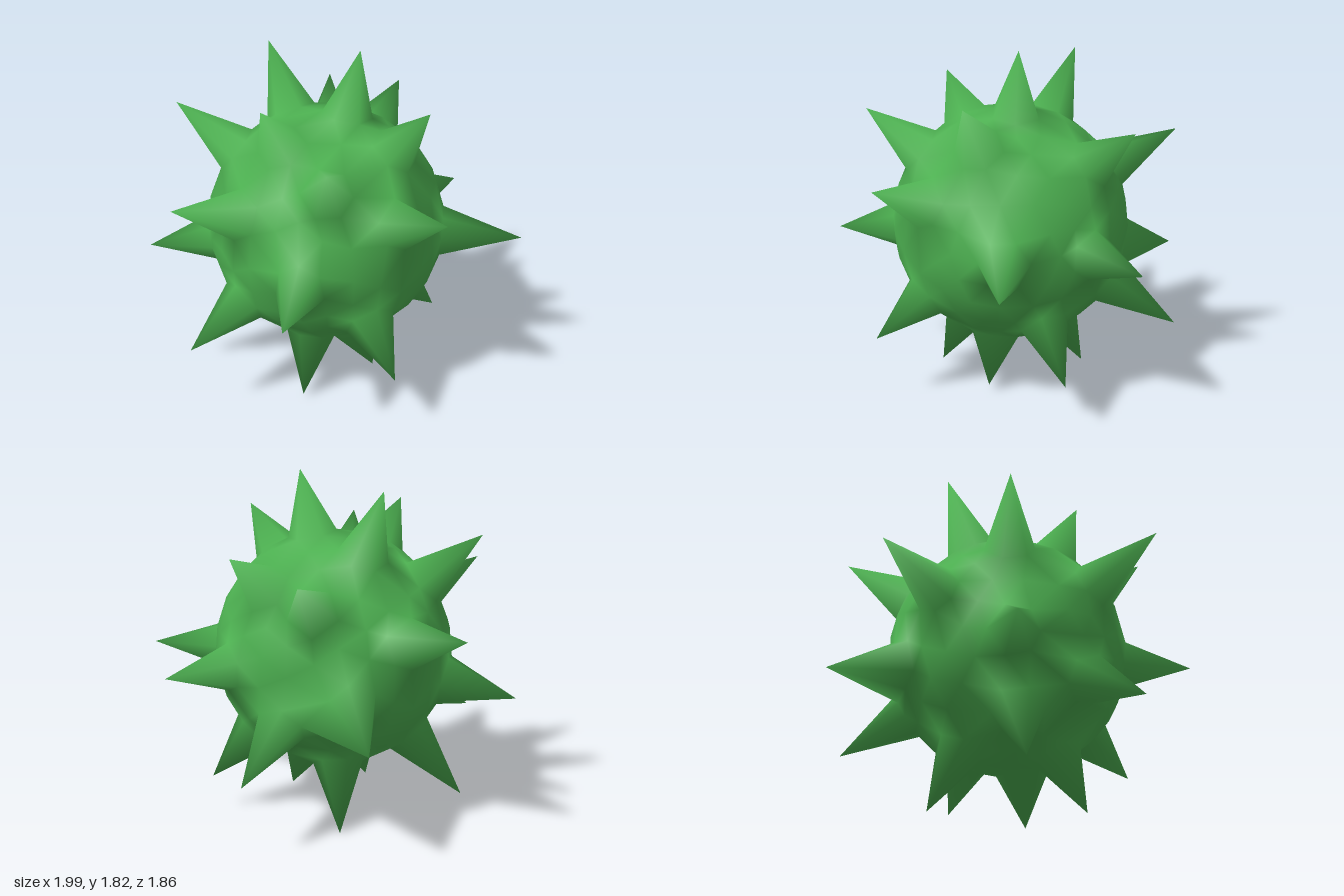
import * as THREE from 'three';
import { mergeVertices } from 'three/addons/utils/BufferGeometryUtils.js';

const CENTRE = new THREE.Vector3(-0.035, 0.885, 0);
const RADIUS = 0.625;
const RING = 0.21; // angle from a spike's axis to its base ring

// Spike tips, roughly from top to bottom
const TIPS = [
  [0.136, 1.82, -0.03], [-0.335, 1.757, -0.365], [-0.345, 1.64, 0.325], [0.467, 1.6, 0.255],
  [-0.8, 1.52, -0.1], [-0.03, 1.505, 0.74], [0.37, 1.45, -0.585], [-0.013, 1.38, -0.863],
  [-0.756, 1.275, 0.63], [0.526, 1.225, 0.69], [-0.765, 1.125, -0.7], [0.71, 0.84, -0.585],
  [0.99, 0.836, 0.11], [-0.237, 0.797, 0.927], [-1, 0.677, -0.1], [-0.35, 0.63, -0.93],
  [-0.725, 0.425, 0.54], [0.27, 0.4, -0.845], [0.305, 0.365, 0.713], [0.58, 0.2, -0.24],
  [-0.73, 0.1, -0.02], [0.22, 0.04, 0.13], [-0.16, 0.02, 0.375], [-0.136, 0, -0.41],
].map((t) => new THREE.Vector3(...t).sub(CENTRE));

function spikyBallGeometry() {
  // Weld an icosphere so neighbouring faces share vertices
  let geo = new THREE.IcosahedronGeometry(1, 4);
  geo.deleteAttribute('uv');
  geo.deleteAttribute('normal');
  geo = mergeVertices(geo, 1e-4);
  const pos = geo.attributes.position;
  const index = geo.index.array;
  const points = Array.from({ length: pos.count }, (_, i) => new THREE.Vector3().fromBufferAttribute(pos, i));

  // Vertices that share a triangle
  const neighbours = points.map(() => new Set());
  for (let i = 0; i < index.length; i += 3) {
    const tri = [index[i], index[i + 1], index[i + 2]];
    for (const a of tri) for (const b of tri) if (a !== b) neighbours[a].add(b);
  }

  // Slide the mesh so that one vertex lies on each spike's axis
  const peaks = [];
  for (const tip of TIPS) {
    const dir = tip.clone().normalize();
    let peak = -1;
    points.forEach((p, i) => {
      if (!peaks.includes(i) && (peak < 0 || p.dot(dir) > points[peak].dot(dir))) peak = i;
    });
    const from = points[peak].clone();
    const shift = dir.clone().sub(from);
    for (const p of points) {
      const fall = Math.max(0, 1 - p.angleTo(from) / 0.5);
      p.addScaledVector(shift, fall).normalize();
    }
    peaks.push(peak);
  }

  // Even out the base rings, then pull the peaks out to the tips
  TIPS.forEach((tip, k) => {
    const dir = tip.clone().normalize();
    for (const n of neighbours[peaks[k]]) {
      const side = points[n].clone().addScaledVector(dir, -points[n].dot(dir)).normalize();
      points[n].copy(dir).multiplyScalar(Math.cos(RING)).addScaledVector(side, Math.sin(RING));
    }
  });
  points.forEach((p) => p.multiplyScalar(RADIUS));
  TIPS.forEach((tip, k) => points[peaks[k]].copy(tip));

  points.forEach((p, i) => pos.setXYZ(i, p.x, p.y, p.z));
  geo.computeVertexNormals();
  return geo;
}

export function createModel() {
  const group = new THREE.Group();
  group.name = 'spikyBall';
  const ball = new THREE.Mesh(spikyBallGeometry(), new THREE.MeshStandardMaterial({ color: 0x4caf50 }));
  ball.name = 'ballWithSpikes';
  ball.position.copy(CENTRE);
  group.add(ball);
  return group;
}
